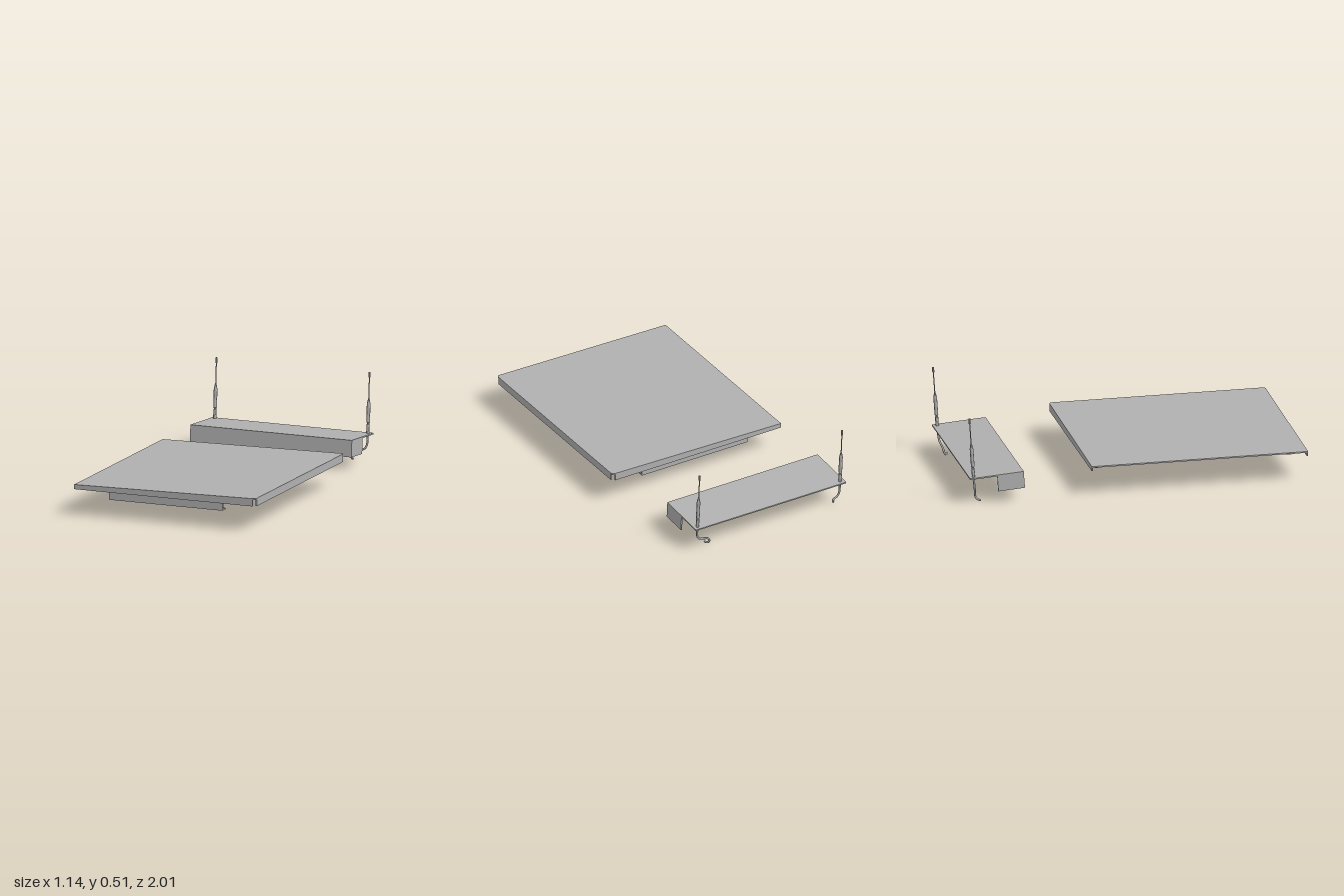
import * as THREE from 'three';

const T = 0.008; // sheet metal thickness
const LEFT = -0.572, RIGHT = 0.57;
const topY = (x) => 0.187 + 0.0168 * x; // sloping top of the large panel

export function createModel() {
  const model = new THREE.Group();
  const metal = new THREE.MeshStandardMaterial({ color: 0xb0b0b0 });

  const add = (parent, name, geometry) => {
    const mesh = new THREE.Mesh(geometry, metal);
    mesh.name = name;
    parent.add(mesh);
    return mesh;
  };
  // Box given by its limits on each axis
  const box = (parent, name, x0, x1, y0, y1, z0, z1) => {
    const g = new THREE.BoxGeometry(x1 - x0, y1 - y0, z1 - z0);
    g.translate((x0 + x1) / 2, (y0 + y1) / 2, (z0 + z1) / 2);
    return add(parent, name, g);
  };
  const polygon = (pts) => new THREE.Shape(pts.map(([x, y]) => new THREE.Vector2(x, y)));
  const extrude = (shape, depth) =>
    new THREE.ExtrudeGeometry(shape, { depth, bevelEnabled: false });
  // Upright plate whose upper edge follows the sloping panel
  const wall = (parent, name, x0, x1, bottom, z0) => {
    const g = extrude(polygon([
      [x0, bottom], [x1, bottom], [x1, topY(x1) - T], [x0, topY(x0) - T],
    ]), T);
    g.translate(0, 0, z0);
    return add(parent, name, g);
  };

  // Large panel: sloping sheet with clipped corners on the tall side
  const panel = new THREE.Group();
  panel.name = 'largePanel';
  model.add(panel);
  const c = 0.014;
  const sheet = extrude(polygon([
    [LEFT, -1], [RIGHT - c, -1], [RIGHT - 0.003, -1 + 0.006], [RIGHT, -1 + c + 0.004],
    [RIGHT, 0.28 - c - 0.004], [RIGHT - 0.003, 0.28 - 0.006], [RIGHT - c, 0.28], [LEFT, 0.28],
  ]), T);
  sheet.rotateX(-Math.PI / 2);
  const p = sheet.attributes.position;
  for (let i = 0; i < p.count; i++) p.setY(i, p.getY(i) - T + topY(p.getX(i)));
  sheet.computeVertexNormals();
  add(panel, 'panelSheet', sheet);

  // Folded edges; the low side stays open
  wall(panel, 'frontFlange', LEFT, 0.55, 0.15, 1 - T);
  wall(panel, 'backFlange', LEFT, 0.55, 0.15, -0.28);
  box(panel, 'sideFlange', RIGHT - T, RIGHT, 0.15, topY(RIGHT) - T, -0.262, 0.982);

  // L-shaped hanging rails with feet turned inward
  wall(panel, 'frontRail', -0.369, 0.347, 0.098, 0.963 - T);
  box(panel, 'frontRailFoot', -0.369, 0.347, 0.098, 0.098 + T, 0.918, 0.963 - T);
  wall(panel, 'backRail', -0.369, 0.347, 0.098, -0.243);
  box(panel, 'backRailFoot', -0.369, 0.347, 0.098, 0.098 + T, -0.243 + T, -0.198);

  // Small rear shelf, tipped slightly backwards about its front edge
  const shelf = new THREE.Group();
  shelf.name = 'rearShelf';
  shelf.position.set(0, 0.178, -0.683);
  shelf.rotation.x = -0.07;
  model.add(shelf);
  const sx0 = -0.573, sx1 = 0.444;
  box(shelf, 'shelfSheet', sx0, sx1, -T, 0, -0.318, 0);
  box(shelf, 'shelfFrontWall', sx0, sx1, -0.1, -T, -T, 0);
  for (const x of [sx0, sx1 - T]) {
    box(shelf, 'shelfEndWall', x, x + T, -0.1, -T, -0.157, -T);
  }

  // Antennas, with radius and height profile from the base up
  const profile = [
    [0, -0.02], [0.008, -0.02], [0.008, 0], [0.0095, 0], [0.0095, 0.052], [0.007, 0.055],
    [0.007, 0.06], [0.0107, 0.064], [0.0107, 0.17], [0.005, 0.2], [0.003, 0.206],
    [0.003, 0.325], [0.0062, 0.325], [0.0062, 0.356], [0, 0.356],
  ].map(([r, y]) => new THREE.Vector2(r, y));
  for (const x of [-0.546, 0.418]) {
    // Non-indexed normals keep the steps of the profile crisp
    const g = new THREE.LatheGeometry(profile, 20).toNonIndexed();
    g.computeVertexNormals();
    add(shelf, 'antenna', g).position.set(x, 0, -0.292);
  }

  // Cables hanging below the antennas
  const cables = [
    [[-0.546, 0.145, -0.973], [-0.546, 0.08, -0.967], [-0.533, 0.053, -0.963],
      [-0.513, 0.037, -0.958], [-0.511, 0.022, -0.954], [-0.518, 0.011, -0.945], [-0.528, 0.007, -0.932]],
    [[0.418, 0.145, -0.973], [0.414, 0.085, -0.967], [0.398, 0.064, -0.964], [0.362, 0.053, -0.961],
      [0.334, 0.041, -0.958], [0.325, 0.02, -0.953], [0.331, 0.007, -0.943], [0.343, 0.009, -0.932]],
  ];
  for (const pts of cables) {
    const curve = new THREE.CatmullRomCurve3(pts.map((v) => new THREE.Vector3(...v)));
    add(model, 'antennaCable', new THREE.TubeGeometry(curve, 40, 0.006, 10));
    // Rounded free end
    add(model, 'cableEnd', new THREE.SphereGeometry(0.006, 10, 8)).position.set(...pts[pts.length - 1]);
  }

  return model;
}
